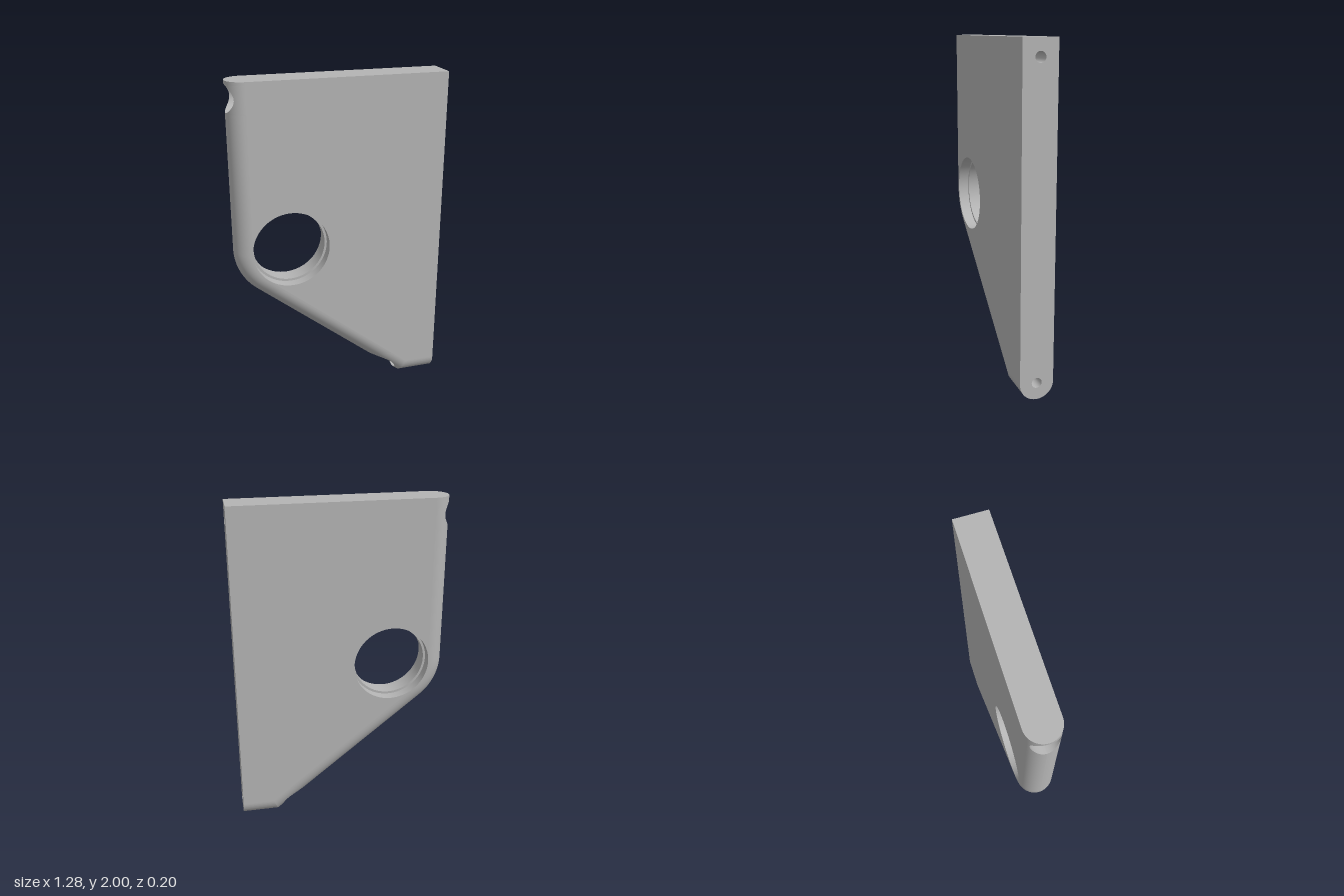
import * as THREE from 'three';
import { mergeVertices } from 'three/addons/utils/BufferGeometryUtils.js';

const T = 0.1;                       // half thickness and edge rounding radius
const RIGHT = 0.64, TOP = 2;
const C = { x: -0.307, y: 1 }, R = 0.333;   // rounded corner, concentric with the big hole
const NX = 0.6247, NY = 0.7809;      // outward slope of the diagonal edge
const HOLE_R = 0.232, LIP_R = 0.218, LIP_HALF = 0.035;
const BORE_R = 0.08, BOLT_R = 0.03;
const bolts = [{ y: 0.1, floor: 0.46 }, { y: 1.9, floor: -0.44 }];

// Edge position at height y and depth z (outline inset by the rounding)
function edgeX(y, z) {
  const r = R - T + Math.sqrt(Math.max(0, T * T - z * z));
  if (y >= C.y) return C.x - r;
  if (y > C.y - r * NY) return C.x - Math.sqrt(r * r - (C.y - y) ** 2);
  return C.x + (NY * (C.y - y) - r) / NX;
}
const chord = (r, d) => Math.sqrt(Math.max(0, r * r - d * d));
const depth = (y) => (y < T ? chord(T, T - y) : T);
const gap = (y, r) => Math.max(...bolts.map((b) => chord(r, y - b.y)));

// Heights around a circle, closely spaced near its ends
const circleRows = (yc, r, n = 24) =>
  Array.from({ length: n + 1 }, (_, i) => yc - r * Math.cos((Math.PI * i) / n));

// Surface lofted upward through one profile per height
function loft(rows, profile) {
  const pos = [], index = [];
  const cols = profile(rows[0]).length;
  rows.forEach((y, i) => {
    profile(y).forEach(([x, z], j) => {
      pos.push(x, y, z);
      if (i && j) {
        const d = i * cols + j, c = d - 1, b = d - cols, a = b - 1;
        index.push(a, b, c, b, d, c);
      }
    });
  });
  const g = new THREE.BufferGeometry();
  g.setAttribute('position', new THREE.Float32BufferAttribute(pos, 3));
  g.setIndex(index);
  g.computeVertexNormals();
  return g;
}

function mirrorZ(geometry) {
  const g = geometry.clone();
  const p = g.attributes.position, n = g.attributes.normal, ix = g.index;
  for (let i = 0; i < p.count; i++) {
    p.setZ(i, -p.getZ(i));
    n.setZ(i, -n.getZ(i));
  }
  for (let i = 0; i < ix.count; i += 3) {
    const a = ix.getX(i);
    ix.setX(i, ix.getX(i + 1));
    ix.setX(i + 1, a);
  }
  return g;
}

export function createModel() {
  const model = new THREE.Group();
  const grey = new THREE.MeshStandardMaterial({ color: 0xb4b4b4 });
  grey.name = 'plainGrey';
  const add = (name, geometry) => {
    const mesh = new THREE.Mesh(geometry, grey);
    mesh.name = name;
    model.add(mesh);
  };
  const addPair = (name, geometry) => {
    add(name + 'Front', geometry);
    add(name + 'Back', mirrorZ(geometry));
  };

  // All heights where the section changes
  const all = [0, T, TOP];
  for (const b of bolts) all.push(...circleRows(b.y, BORE_R), ...circleRows(b.y, BOLT_R, 16));
  for (let i = 0; i <= 10; i++) all.push(T * (1 - Math.cos((Math.PI / 2) * (i / 10))));
  for (let i = 0; i <= 28; i++) all.push(0.73 + (0.27 * i) / 28);
  const rows = all.sort((a, b) => a - b).filter((y, i) => !i || y - all[i - 1] > 1e-6);

  // Rounded left and diagonal edge, notched by the bolt head bores
  addPair('roundedEdge', loft(rows, (y) => {
    const a0 = Math.asin(Math.min(1, gap(y, BORE_R) / T));
    const a1 = Math.asin(Math.min(1, depth(y) / T));
    return Array.from({ length: 15 }, (_, j) => {
      const z = T * Math.sin(a0 + ((a1 - a0) * j) / 14);
      return [edgeX(y, z), z];
    });
  }));

  // Rounded foot
  addPair('roundedFoot', loft(rows.filter((y) => y <= T + 1e-6), (y) => {
    const z = depth(y);
    return [[edgeX(y, z), z], [RIGHT, z]];
  }));

  // Flat right side with the bolt holes left open
  addPair('rightSide', loft(rows, (y) => [[RIGHT, depth(y)], [RIGHT, gap(y, BOLT_R)]]));

  // Bolt holes with wider head bores
  for (const b of bolts) {
    const boreRows = circleRows(b.y, BORE_R);
    const floorRows = [...boreRows, ...circleRows(b.y, BOLT_R, 16)].sort((p, q) => p - q);
    const bore = (y) => chord(BORE_R, y - b.y), bolt = (y) => chord(BOLT_R, y - b.y);
    addPair('boltHole', loft(circleRows(b.y, BOLT_R, 16),
      (y) => [[RIGHT, bolt(y)], [b.floor, bolt(y)]]));
    addPair('boreFloor', loft(floorRows, (y) => [[b.floor, bolt(y)], [b.floor, bore(y)]]));
    addPair('headBore', loft(boreRows,
      (y) => [[b.floor, bore(y)], [edgeX(y, bore(y)), bore(y)]]));
  }

  // Flat faces with the big round hole
  const face = new THREE.Shape();
  face.moveTo(RIGHT, T);
  face.lineTo(RIGHT, TOP);
  rows.filter((y) => y >= T - 1e-6).reverse().forEach((y) => face.lineTo(edgeX(y, T), y));
  const opening = new THREE.Path();
  opening.absarc(C.x, C.y, HOLE_R, 0, Math.PI * 2, true);
  face.holes.push(opening);
  const faceGeometry = new THREE.ShapeGeometry(face, 40);
  faceGeometry.translate(0, 0, T);
  addPair('flatFace', faceGeometry);

  // Flat top with a round left end
  const cap = new THREE.Shape();
  cap.moveTo(RIGHT, -T);
  cap.lineTo(RIGHT, T);
  cap.absarc(-RIGHT + T, 0, T, Math.PI / 2, Math.PI * 1.5, false);
  const capGeometry = new THREE.ShapeGeometry(cap, 28);
  capGeometry.rotateX(-Math.PI / 2);
  capGeometry.translate(0, TOP, 0);
  add('topCap', capGeometry);

  // Lining of the big hole, with a narrower lip in the middle
  const profile = [
    [HOLE_R, T], [HOLE_R, LIP_HALF], [LIP_R, LIP_HALF],
    [LIP_R, -LIP_HALF], [HOLE_R, -LIP_HALF], [HOLE_R, -T],
  ].map(([r, z]) => new THREE.Vector2(r, z));
  for (let i = 0; i < profile.length - 1; i++) {
    const ring = new THREE.LatheGeometry([profile[i], profile[i + 1]], 80);
    ring.rotateX(Math.PI / 2);
    ring.translate(C.x, C.y, 0);
    add('holeLining', mergeVertices(ring));
  }
  return model;
}
